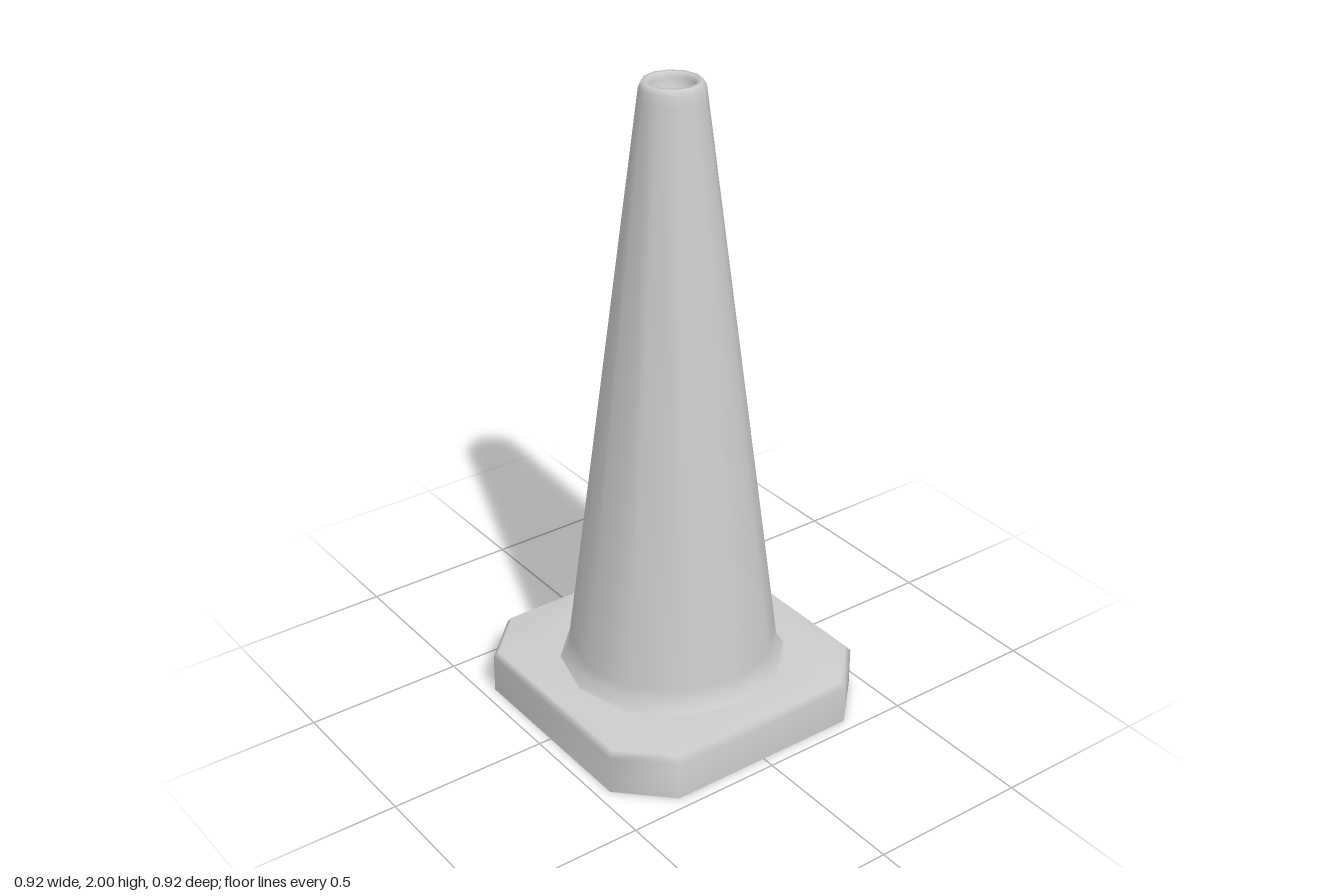
import * as THREE from 'three';

const material = new THREE.MeshStandardMaterial({ color: 0xcccccc, side: THREE.DoubleSide });

// Square with cut corners: half width h, straight edges end at c
function octagon(h, c, y) {
  return [[h, c], [c, h], [-c, h], [-h, c], [-h, -c], [-c, -h], [c, -h], [h, -c]]
    .map(([x, z]) => [x, y, z]);
}

// Smooth skin over stacked rings (bottom to top), closed by a fan on the last ring
function loft(rings) {
  const n = rings[0].length;
  const index = [];
  for (let r = 0; r < rings.length - 1; r++) {
    for (let i = 0; i < n; i++) {
      const j = (i + 1) % n;
      const a = r * n + i, b = r * n + j;
      index.push(a, a + n, b, b, a + n, b + n);
    }
  }
  const last = (rings.length - 1) * n;
  const centre = rings.length * n;
  for (let i = 0; i < n; i++) index.push(last + i, centre, last + (i + 1) % n);
  const points = [...rings.flat(), [0, rings[rings.length - 1][0][1], 0]];
  const geometry = new THREE.BufferGeometry();
  geometry.setAttribute('position', new THREE.Float32BufferAttribute(points.flat(), 3));
  geometry.setIndex(index);
  geometry.computeVertexNormals();
  return geometry;
}

export function createModel() {
  const model = new THREE.Group();
  model.name = 'trafficCone';
  const add = (name, geometry) => {
    const mesh = new THREE.Mesh(geometry, material);
    mesh.name = name;
    model.add(mesh);
    return mesh;
  };

  // Base slab with a softened top edge
  add('base', loft([
    octagon(0.46, 0.315, 0),
    octagon(0.46, 0.315, 0.122),
    octagon(0.445, 0.308, 0.14),
    octagon(0.3, 0.2, 0.14),
  ]));

  // Flat underside
  const outline = octagon(0.46, 0.315, 0).map(([x, , z]) => new THREE.Vector2(x, z));
  const underside = new THREE.ShapeGeometry(new THREE.Shape(outline));
  underside.rotateX(Math.PI / 2);
  add('underside', underside);

  // Twelve-sided tapering body with flared foot, rounded lip and recessed top
  const profile = [
    [0.35, 0.14], [0.327, 0.172], [0.322, 0.21],
    [0.098, 1.955], [0.094, 1.985], [0.085, 2],
    [0.072, 2], [0.064, 1.985], [0.058, 1.93], [0, 1.925],
  ].map(([r, y]) => new THREE.Vector2(r, y));
  add('coneBody', new THREE.LatheGeometry(profile, 12));

  return model;
}
